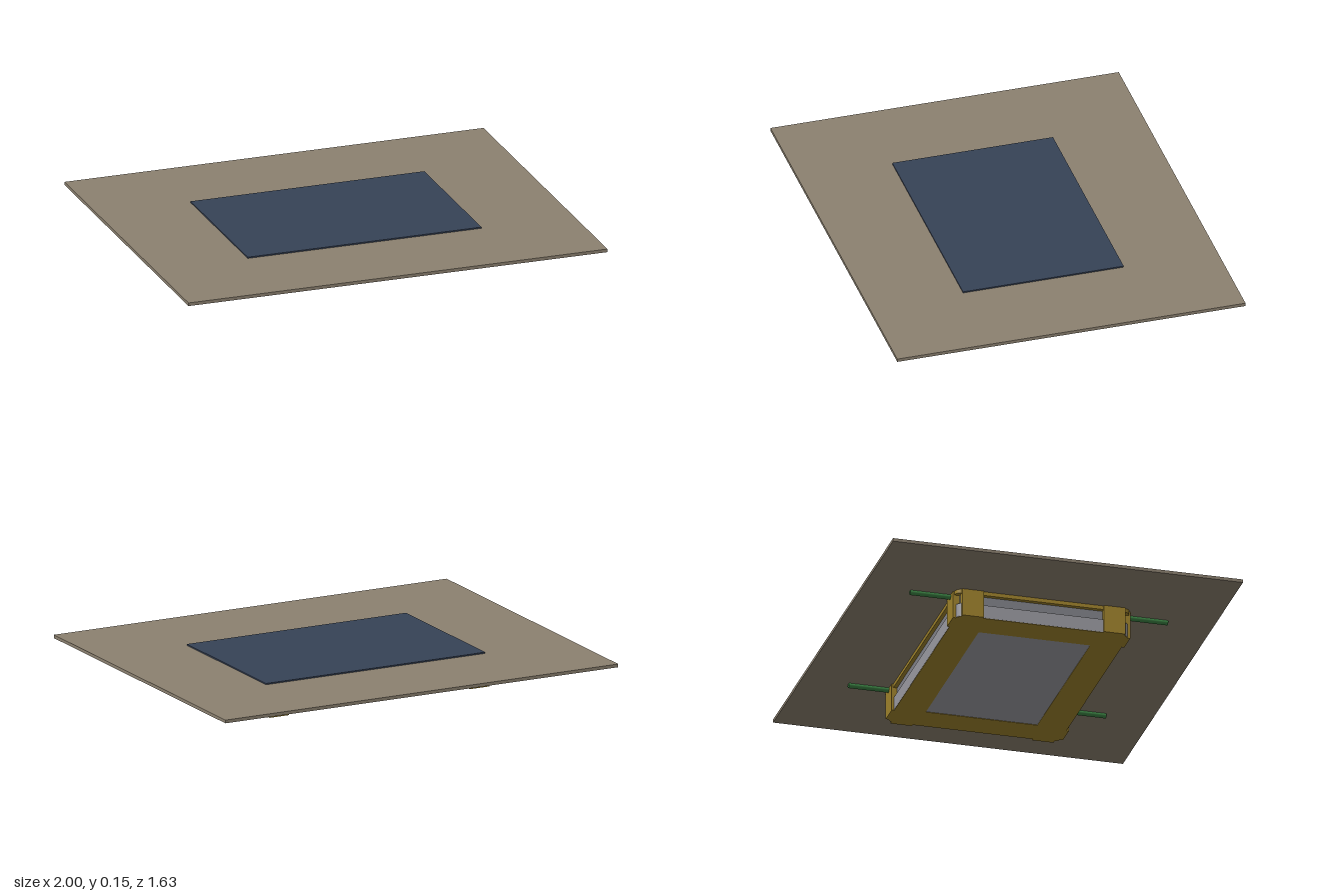
import * as THREE from 'three';

const mat = (color) => new THREE.MeshStandardMaterial({ color });

// Rounded rectangle in the ground plane, with an optional rectangular opening
function slab(hx, hz, r, y0, y1, opening) {
  const s = new THREE.Shape();
  s.moveTo(-hx + r, -hz);
  s.lineTo(hx - r, -hz);
  s.absarc(hx - r, -hz + r, r, -Math.PI / 2, 0);
  s.absarc(hx - r, hz - r, r, 0, Math.PI / 2);
  s.absarc(-hx + r, hz - r, r, Math.PI / 2, Math.PI);
  s.absarc(-hx + r, -hz + r, r, Math.PI, Math.PI * 1.5);
  if (opening) {
    const [ox, oz] = opening;
    s.holes.push(new THREE.Path([[-ox, -oz], [-ox, oz], [ox, oz], [ox, -oz]].map(([x, y]) => new THREE.Vector2(x, y))));
  }
  const g = new THREE.ExtrudeGeometry(s, { depth: y1 - y0, bevelEnabled: false, curveSegments: 6 });
  return g.rotateX(-Math.PI / 2).translate(0, y0, 0);
}

export function createModel() {
  const group = new THREE.Group();
  const gold = mat(0xa0842c), grey = mat(0x9c9ca3), darkGrey = mat(0x82848b);
  const tan = mat(0x8c8170), navy = mat(0x364256), green = mat(0x3c8444);

  const add = (name, geometry, material, x = 0, y = 0, z = 0) => {
    const m = new THREE.Mesh(geometry, material);
    m.name = name;
    m.position.set(x, y, z);
    group.add(m);
    return m;
  };
  const box = (name, w, h, d, material, x, y, z) =>
    add(name, new THREE.BoxGeometry(w, h, d), material, x, y, z);

  // Mounting panel and the screen lying on it
  box('panel', 2, 0.015, 1.63, tan, 0, 0.1375, 0);
  box('screen', 1.116, 0.006, 0.752, navy, 0, 0.148, 0);

  // Stepped housing below the panel
  add('housingLower', slab(0.588, 0.402, 0.04, 0.002, 0.065), grey);
  add('housingUpper', slab(0.572, 0.388, 0.03, 0.065, 0.112), darkGrey);
  add('housingRim', slab(0.592, 0.406, 0.03, 0.112, 0.13), gold);
  add('bottomFrame', slab(0.587, 0.401, 0.04, 0, 0.002, [0.44, 0.26]), gold);

  for (const sx of [-1, 1]) {
    for (const sz of [-1, 1]) {
      // Pair of pads beside each open corner
      box('cornerPadFront', 0.1, 0.13, 0.03, gold, sx * 0.51, 0.065, sz * 0.398);
      box('cornerPadSide', 0.03, 0.13, 0.1, gold, sx * 0.584, 0.065, sz * 0.33);

      // Rod running out under the panel
      const rod = new THREE.CylinderGeometry(0.012, 0.012, 0.2, 16).rotateX(Math.PI / 2);
      add('rod', rod, green, sx * 0.513, 0.122, sz * 0.5);
    }
  }
  return group;
}
